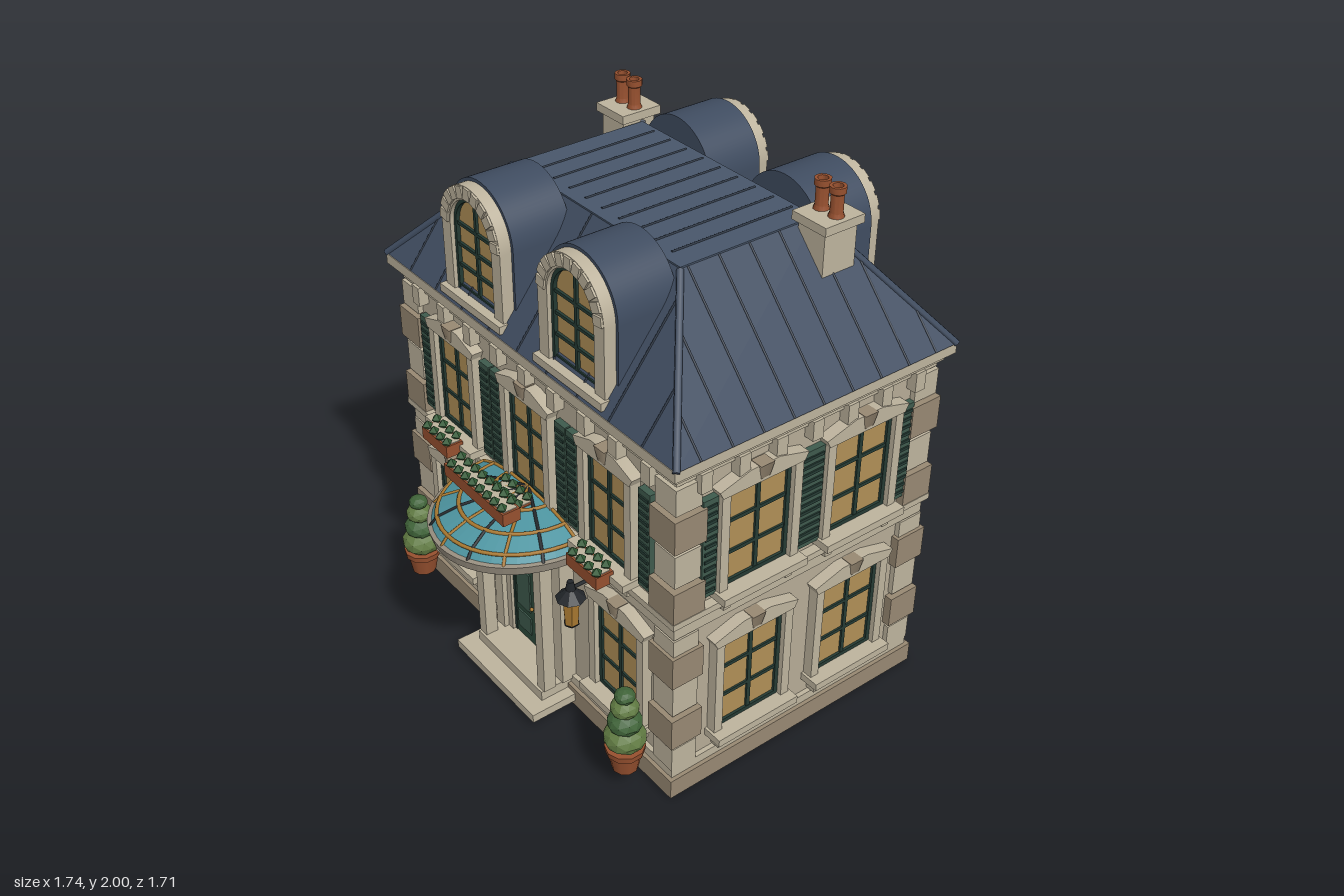
import * as THREE from 'three';
import { toCreasedNormals } from 'three/addons/utils/BufferGeometryUtils.js';

const STONE = 0xb5ab96, TRIM = 0xbdb39d, BROWN = 0x978872, ROOF = 0x3f4c60, SEAM = 0x2b3543;
const GLASS = 0xb08f56, GREEN = 0x243a33, SHUTTER = 0x3e5a4d, CLAY = 0x96502f, LEAF = 0x2f5a33;
const BLACK = 0x22262a, GOLD = 0xa87830, TEAL = 0x4d94a0;
const HX = 0.79, HZ = 0.545; // half width and depth of the walls
const mats = {};
const mat = (color, flat) => mats[color + '_' + flat] ??= new THREE.MeshStandardMaterial({ color, flatShading: !!flat, side: flat === 2 ? THREE.DoubleSide : THREE.FrontSide });

function add(parent, name, geo, color, x = 0, y = 0, z = 0, flat) {
  const m = new THREE.Mesh(geo, mat(color, flat));
  m.name = name;
  m.position.set(x, y, z);
  parent.add(m);
  return m;
}
// Box given by its centre in x and z and by its bottom and top in y
const box = (p, name, color, w, d, x, y0, y1, z) =>
  add(p, name, new THREE.BoxGeometry(w, y1 - y0, d), color, x, (y0 + y1) / 2, z);
const group = (p, name, x = 0, y = 0, z = 0) => {
  const g = new THREE.Group();
  g.name = name;
  g.position.set(x, y, z);
  p.add(g);
  return g;
};
function bar(p, name, color, a, b, r) {
  const A = new THREE.Vector3(...a), B = new THREE.Vector3(...b), d = B.clone().sub(A);
  const m = add(p, name, new THREE.CylinderGeometry(r, r, d.length(), 6), color);
  m.position.copy(A).add(B).multiplyScalar(0.5);
  m.quaternion.setFromUnitVectors(new THREE.Vector3(0, 1, 0), d.normalize());
}
const extrude = (shape, depth) => toCreasedNormals(
  new THREE.ExtrudeGeometry(shape, { depth, bevelEnabled: false, curveSegments: 20 }), 0.5);
function arch(r, base, spring) {
  const s = new THREE.Shape();
  s.moveTo(-r, base); s.lineTo(r, base); s.lineTo(r, spring);
  s.absarc(0, spring, r, 0, Math.PI, false);
  s.closePath();
  return s;
}
function archRing(ro, ri, base, spring) {
  const s = new THREE.Shape();
  s.moveTo(ro, base); s.lineTo(ro, spring);
  s.absarc(0, spring, ro, 0, Math.PI, false);
  s.lineTo(-ro, base); s.lineTo(-ri, base); s.lineTo(-ri, spring);
  s.absarc(0, spring, ri, Math.PI, 0, true);
  s.lineTo(ri, base); s.closePath();
  return s;
}
// Wedge stones around an arch
function voussoirs(p, ri, ro, spring, z, n) {
  for (let i = 0; i < n; i++) {
    const a = Math.PI * (i + 0.5) / n, r = (ri + ro) / 2;
    const m = add(p, 'archStone', new THREE.BoxGeometry(ro - ri, Math.PI * r / n * 0.82, 0.02), TRIM, r * Math.cos(a), spring + r * Math.sin(a), z);
    m.rotation.z = a;
  }
}

function windowUnit(wall, x, y, w, h, shutters) {
  const g = group(wall, 'window', x, y, 0), o = w / 2 + 0.035;
  box(g, 'glass', GLASS, w, 0.02, 0, 0, h, 0);
  for (const s of [-1, 1]) {
    box(g, 'frameSide', GREEN, 0.016, 0.03, s * (w / 2 - 0.008), 0, h, 0.005);
    box(g, 'jamb', TRIM, 0.035, 0.05, s * (w / 2 + 0.0175), 0, h, 0.015);
    box(g, 'sillBracket', TRIM, 0.03, 0.04, s * (w / 2), -0.085, -0.03, 0.02);
    if (shutters) {
      const sh = group(g, 'shutter', s * Math.max(0.197, w / 2 + 0.068), 0, 0);
      box(sh, 'shutterPanel', SHUTTER, 0.06, 0.025, 0, -0.005, h + 0.005, 0.0125);
      for (let i = 0; i < 12; i++) box(sh, 'slat', GREEN, 0.046, 0.012, 0, 0.015 + i * 0.031, 0.027 + i * 0.031, 0.024);
    }
  }
  for (const t of [0.008, h - 0.008]) box(g, 'frameRail', GREEN, w, 0.03, 0, t - 0.008, t + 0.008, 0.005);
  box(g, 'mullion', GREEN, 0.016, 0.03, 0, 0, h, 0.003);
  for (const t of [1, 2]) box(g, 'glazingBar', GREEN, w, 0.028, 0, h * t / 3 - 0.007, h * t / 3 + 0.007, 0.003);
  box(g, 'sill', TRIM, w + 0.09, 0.08, 0, -0.03, 0, 0.04);
  const s = new THREE.Shape();
  [[-o, 0], [o, 0], [o + 0.015, 0.03], [0.06, 0.065], [-0.06, 0.065], [-o - 0.015, 0.03]].forEach(([a, b], i) => i ? s.lineTo(a, b) : s.moveTo(a, b));
  add(g, 'hood', extrude(s, 0.045), TRIM, 0, h, 0);
  add(g, 'keystone', new THREE.CylinderGeometry(0.04, 0.026, 0.055, 4, 1, false, Math.PI / 4).scale(1, 1, 0.9), BROWN, 0, h + 0.04, 0.03);
}

function flowerBox(p, x, y, z, w) {
  const g = group(p, 'flowerBox', x, y, z);
  box(g, 'trough', CLAY, w, 0.07, 0, 0, 0.05, 0);
  box(g, 'soil', TRIM, w - 0.015, 0.055, 0, 0.05, 0.053, 0);
  const n = Math.round(w / 0.045);
  for (let i = 0; i < n; i++) for (const s of [-1, 1])
    add(g, 'plant', new THREE.OctahedronGeometry(0.022), LEAF, (i - (n - 1) / 2) * 0.045 + s * 0.008, 0.065, s * 0.025, 1);
}

function door(wall, x, r, spring, leafTop, ring) {
  const g = group(wall, 'door', x, 0, 0);
  add(g, 'fanlight', extrude(arch(r, 0.1, spring), 0.012), GLASS);
  add(g, 'doorSurround', extrude(archRing(r + ring, r, 0.1, spring), 0.04), STONE);
  add(g, 'doorFrame', extrude(archRing(r + 0.004, r - 0.012, 0.1, spring), 0.028), GREEN);
  voussoirs(g, r + 0.004, r + ring + 0.006, spring, 0.045, 9);
  box(g, 'transom', GREEN, 2 * r, 0.03, 0, leafTop, leafTop + 0.018, 0.015);
  for (const s of [-1, 1]) {
    box(g, 'doorLeaf', 0x2c4a3a, r - 0.004, 0.02, s * r / 2, 0.1, leafTop, 0.015);
    for (const [a, b] of [[0.14, 0.22], [0.25, leafTop - 0.03]]) box(g, 'doorPanel', SHUTTER, r * 0.6, 0.01, s * r / 2, a, b, 0.026);
    add(g, 'knob', new THREE.SphereGeometry(0.008, 8, 6), GOLD, s * 0.015, 0.28, 0.032);
    box(g, 'impost', TRIM, ring + 0.012, 0.05, s * (r + ring / 2), spring - 0.025, spring, 0.025);
  }
}

function canopy(wall) {
  const g = group(wall, 'canopy', 0, 0.77, 0.03);
  g.scale.z = 1.16;
  const P = [[0.315, 0], [0.29, 0.035], [0.22, 0.065], [0.12, 0.085], [0.001, 0.092]];
  const lathe = pts => new THREE.LatheGeometry(pts.map(([a, b]) => new THREE.Vector2(a, b)), 24, -Math.PI / 2, Math.PI);
  add(g, 'canopyGlass', lathe(P), TEAL, 0, 0, 0, 2);
  add(g, 'canopyRim', lathe([[0.28, -0.04], [0.315, -0.03], [0.322, 0.005], [0.3, 0.012]]), 0x968d7e, 0, 0, 0, 2);
  for (const i of [1, 2, 3]) add(g, 'canopyHoop', new THREE.TorusGeometry(P[i][0], 0.007, 6, 24, Math.PI).rotateX(Math.PI / 2), GOLD, 0, P[i][1], 0);
  for (let k = 0; k <= 8; k++) {
    const a = Math.PI * k / 8, at = ([r, y]) => [r * Math.cos(a), y, r * Math.sin(a)];
    for (let i = 0; i < 4; i++) bar(g, 'canopyRib', k % 2 ? BLACK : GOLD, at(P[i]), at(P[i + 1]), 0.006);
  }
}

function lantern(wall, x) {
  const g = group(wall, 'lantern', x, 0, 0.09);
  add(g, 'lampGlass', new THREE.CylinderGeometry(0.033, 0.026, 0.11, 6), GOLD, 0, 0.55, 0, 1);
  add(g, 'lampHood', new THREE.CylinderGeometry(0.012, 0.055, 0.04, 8), BLACK, 0, 0.63, 0, 1);
  add(g, 'lampTop', new THREE.CylinderGeometry(0.012, 0.018, 0.035, 8), BLACK, 0, 0.665, 0);
  add(g, 'lampBase', new THREE.CylinderGeometry(0.03, 0.02, 0.012, 6), BLACK, 0, 0.49, 0);
  bar(g, 'lampArm', BLACK, [0, 0.65, -0.09], [0, 0.65, 0], 0.007);
}

function topiary(wall, x) {
  const g = group(wall, 'topiary', x, 0, 0.115);
  add(g, 'pot', new THREE.CylinderGeometry(0.064, 0.048, 0.09, 10), CLAY, 0, 0.135, 0);
  add(g, 'potRim', new THREE.CylinderGeometry(0.073, 0.07, 0.025, 10), CLAY, 0, 0.18, 0);
  [[0.235, 0.078], [0.305, 0.064], [0.37, 0.052], [0.422, 0.038]].forEach(([y, r], i) =>
    add(g, 'foliage', new THREE.IcosahedronGeometry(r, 1).scale(1, 0.72, 1), i % 2 ? 0x3f6338 : 0x607a42, 0, y, 0, 1));
}

// Arched dormer standing on the roof slope
function dormer(wall, x) {
  const g = group(wall, 'dormer', x, 0, -HZ), spring = 1.73;
  add(g, 'dormerBarrel', extrude(arch(0.19, 1.44, spring), 0.23), ROOF, 0, 0, 0.3);
  add(g, 'dormerFrame', extrude(archRing(0.178, 0.125, 1.47, spring), 0.045), TRIM, 0, 0, 0.53);
  add(g, 'dormerGlass', extrude(arch(0.126, 1.47, spring), 0.015), GLASS, 0, 0, 0.53);
  add(g, 'dormerCasing', extrude(archRing(0.127, 0.112, 1.475, spring), 0.03), GREEN, 0, 0, 0.53);
  voussoirs(g, 0.132, 0.176, spring, 0.573, 11);
  box(g, 'dormerSill', TRIM, 0.375, 0.075, 0, 1.445, 1.475, 0.56);
  box(g, 'dormerMullion', GREEN, 0.014, 0.02, 0, 1.48, 1.85, 0.545);
  for (const y of [1.485, 1.57, 1.65, 1.73]) box(g, 'dormerBar', GREEN, 0.24, 0.02, 0, y - 0.006, y + 0.006, 0.545);
}

export function createModel() {
  const root = new THREE.Group();
  root.name = 'townHouse';
  const house = group(root, 'house', 0, 0, -0.09);
  // Stacked masonry: [name, colour, overhang, bottom, top]
  for (const [n, c, e, a, b] of [['plinth', BROWN, 0.033, 0, 0.08], ['baseCourse', TRIM, 0.018, 0.08, 0.115],
    ['walls', STONE, 0, 0.08, 1.4], ['stringCourse', TRIM, 0.018, 0.715, 0.775], ['stringCap', TRIM, 0.035, 0.775, 0.8],
    ['frieze', TRIM, 0.015, 1.335, 1.36], ['corniceBed', TRIM, 0.03, 1.36, 1.39], ['cornice', TRIM, 0.055, 1.39, 1.43]])
    box(house, n, c, 2 * (HX + e), 2 * (HZ + e), 0, a, b, 0);
  // Quoins
  const rows = [0.165, 0.3, 0.44, 0.58, 0.675, 0.86, 1.0, 1.15, 1.275];
  for (const sx of [-1, 1]) for (const sz of [-1, 1]) rows.forEach((y, i) => {
    const big = i % 2, s = big ? 0.13 : 0.105, h = i === 4 ? 0.035 : i === 0 || i === 8 ? 0.05 : 0.064;
    box(house, 'quoin', big ? BROWN : TRIM, s, s, sx * (HX - 0.032), y - h, y + h, sz * (HZ - 0.032));
  });
  // Wall frames: x runs along the wall, z points outward
  const wallFrame = (name, rot, d) => {
    const g = group(house, name, Math.sin(rot) * d, 0, Math.cos(rot) * d);
    g.rotation.y = rot;
    return g;
  };
  const front = wallFrame('frontWall', 0, HZ), back = wallFrame('backWall', Math.PI, HZ);
  const sides = [wallFrame('leftWall', Math.PI / 2, HX), wallFrame('rightWall', -Math.PI / 2, HX)];
  for (const w of [front, back]) {
    for (const x of [-0.46, 0, 0.46]) {
      windowUnit(w, x, 0.845, 0.22, 0.385, true);
      flowerBox(w, x, 0.81, 0.1, 0.17);
    }
    for (const s of [-1, 1]) dormer(w, s * 0.285);
  }
  for (const s of [-1, 1]) windowUnit(front, s * 0.515, 0.225, 0.24, 0.395);
  for (const x of [-0.46, 0]) windowUnit(back, x, 0.225, 0.24, 0.395);
  for (const w of sides) for (const s of [-1, 1]) {
    windowUnit(w, s * 0.225, 0.845, 0.27, 0.385, true);
    windowUnit(w, s * 0.225, 0.21, 0.27, 0.395);
  }
  // Cornice brackets
  for (const [w, n, half] of [[front, 9, 0.68], [back, 9, 0.68], [sides[0], 7, 0.46], [sides[1], 7, 0.46]])
    for (let i = 0; i < n; i++) box(w, 'corniceBracket', TRIM, 0.045, 0.04, -half + 2 * half * i / (n - 1), 1.285, 1.36, 0.02);
  // Entrances
  door(front, 0, 0.14, 0.53, 0.46, 0.035);
  for (const s of [-1, 1]) {
    box(front, 'porchPier', TRIM, 0.045, 0.05, s * 0.193, 0.1, 0.7, 0.115);
    box(front, 'porchPilaster', TRIM, 0.05, 0.06, s * 0.193, 0.1, 0.7, 0.03);
    box(front, 'porchCapital', TRIM, 0.06, 0.14, s * 0.193, 0.69, 0.725, 0.07);
    lantern(front, s * 0.33);
    topiary(front, s * 0.67);
  }
  box(front, 'porchBeam', TRIM, 0.45, 0.14, 0, 0.72, 0.75, 0.07);
  canopy(front);
  flowerBox(front, 0, 0.905, 0.22, 0.37);
  box(front, 'lowerStep', TRIM, 0.51, 0.22, 0, 0.025, 0.06, 0.11);
  box(front, 'upperStep', TRIM, 0.42, 0.15, 0, 0.06, 0.1, 0.075);
  door(back, 0.425, 0.095, 0.45, 0.4, 0.045);
  box(back, 'lowerStep', TRIM, 0.41, 0.22, 0.425, 0.025, 0.06, 0.11);
  box(back, 'upperStep', TRIM, 0.34, 0.145, 0.425, 0.06, 0.1, 0.0725);
  // Hipped roof with a flat top
  const E = [0.848, 0.597], T = [0.46, 0.28], y0 = 1.43, y1 = 1.84;
  const rg = new THREE.BoxGeometry(2, y1 - y0, 2), v = rg.attributes.position;
  for (let i = 0; i < v.count; i++) {
    const q = v.getY(i) > 0 ? T : E;
    v.setXYZ(i, v.getX(i) * q[0], v.getY(i), v.getZ(i) * q[1]);
  }
  rg.computeVertexNormals();
  add(house, 'roof', rg, ROOF, 0, (y0 + y1) / 2, 0);
  box(house, 'roofDeck', 0x48566a, 2 * T[0], 2 * T[1], 0, y1 - 0.01, y1 + 0.006, 0);
  for (const sx of [-1, 1]) for (const sz of [-1, 1])
    bar(house, 'hipRidge', ROOF, [sx * E[0], y0, sz * E[1]], [sx * T[0], y1, sz * T[1]], 0.013);
  for (let i = -4; i <= 4; i++) bar(house, 'deckSeam', SEAM, [i * 0.092, y1 + 0.006, -0.26], [i * 0.092, y1 + 0.006, 0.24], 0.005);
  // Standing seams, cut off where they reach a hip
  const seam = (u, axis) => {
    const k = 1 - axis, t = Math.min(1, (E[axis] - Math.abs(u)) / (E[axis] - T[axis]));
    for (const s of [-1, 1]) {
      const lo = [u, s * E[k]], hi = [u, s * (E[k] + (T[k] - E[k]) * t)];
      const at = (c, y) => axis ? [c[1], y, c[0]] : [c[0], y, c[1]];
      bar(house, 'roofSeam', SEAM, at(lo, y0), at(hi, y0 + (y1 - y0) * t), 0.004);
    }
  };
  for (let i = -4; i <= 4; i++) seam(i * 0.17, 0);
  for (let i = -4; i <= 4; i++) seam(i * 0.125, 1);
  // Chimneys
  for (const s of [-1, 1]) {
    const c = group(house, 'chimney', s * 0.53, 0, -0.27);
    box(c, 'chimneyStack', TRIM, 0.125, 0.14, 0, 1.55, 1.86, 0);
    box(c, 'chimneyCap', TRIM, 0.16, 0.17, 0, 1.86, 1.892, 0);
    for (const x of [-0.035, 0.035]) {
      const pts = [[0.028, 0], [0.023, 0.015], [0.023, 0.08], [0.029, 0.085], [0.029, 0.108], [0.018, 0.108], [0.016, 0.06], [0, 0.06]];
      add(c, 'chimneyPot', toCreasedNormals(new THREE.LatheGeometry(pts.map(([a, b]) => new THREE.Vector2(a, b)), 12), 0.6), CLAY, x, 1.892, 0);
    }
  }
  return root;
}
